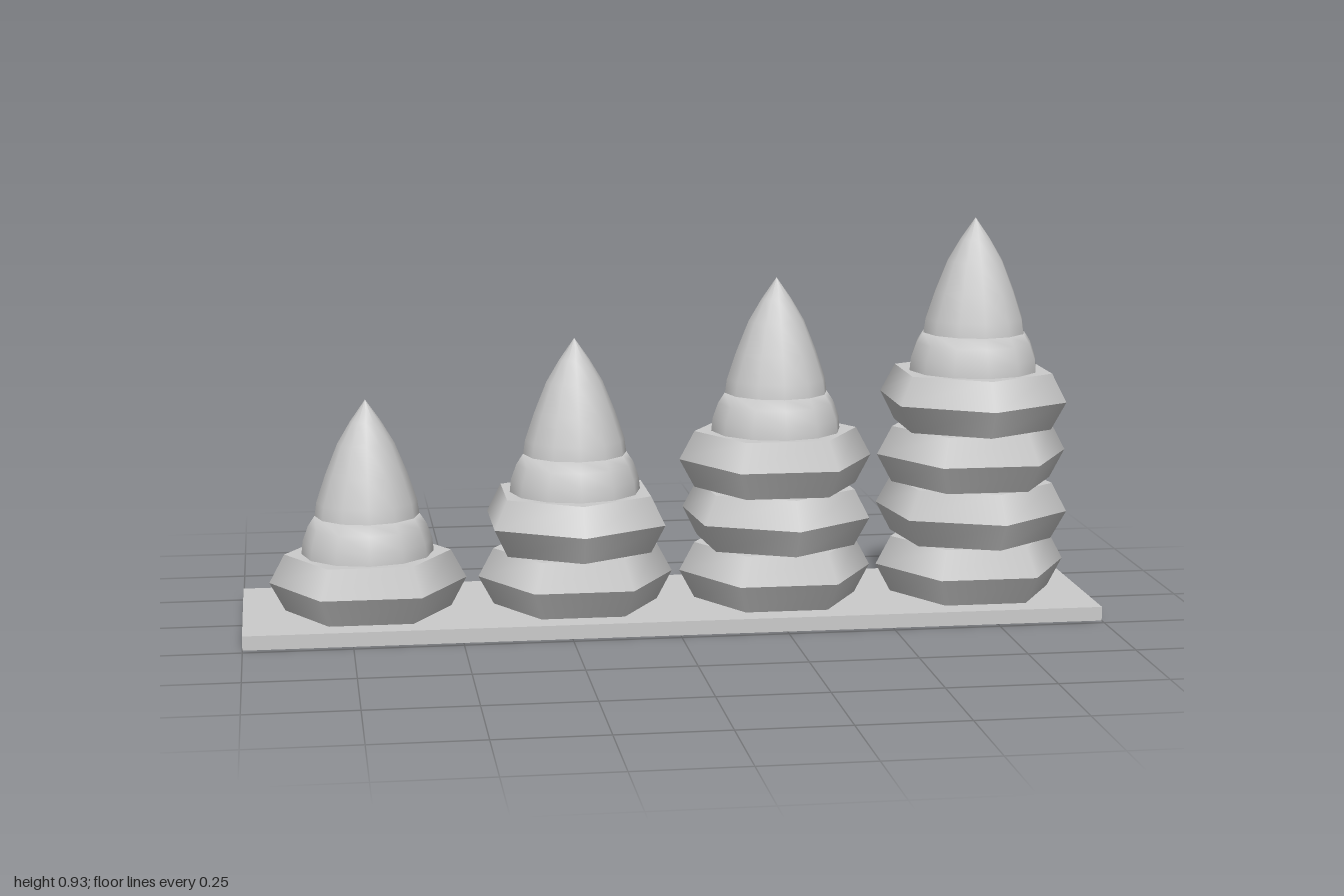
import * as THREE from 'three';

const BASE_H = 0.033, TIER_H = 0.134, MID_R = 0.23, END_R = 0.194;

export function createModel() {
  const model = new THREE.Group();
  const mat = new THREE.MeshStandardMaterial({ color: 0xcccccc });
  const add = (parent, geometry, name, y, turn = 0) => {
    const mesh = new THREE.Mesh(geometry, mat);
    mesh.name = name;
    mesh.position.y = y;
    mesh.rotation.y = THREE.MathUtils.degToRad(turn);
    parent.add(mesh);
    return mesh;
  };
  const lathe = (points) =>
    new THREE.LatheGeometry(points.map(([r, y]) => new THREE.Vector2(r, y)), 12);

  // Long plinth
  add(model, new THREE.BoxGeometry(2, BASE_H, 0.46), 'base', BASE_H / 2);

  // Shared shapes: two hexagonal frustums per tier, collar and pointed cap
  const lower = new THREE.CylinderGeometry(MID_R, END_R, TIER_H / 2, 6);
  const upper = new THREE.CylinderGeometry(END_R, MID_R, TIER_H / 2, 6);
  const collar = lathe([[0.154, 0], [0.151, 0.03], [0.138, 0.066], [0.122, 0.09], [0, 0.09]]);
  const cap = lathe([[0.122, 0.088], [0.117, 0.123], [0.095, 0.188], [0.066, 0.26], [0.035, 0.312], [0, 0.362]]);

  // Each tower: centre and the turn of every tier in degrees
  const towers = [
    { x: -0.707, turns: [30] },
    { x: -0.219, turns: [30, 0] },
    { x: 0.259, turns: [30, 5, 30] },
    { x: 0.735, turns: [30, 8, 30, 0] },
  ];
  towers.forEach(({ x, turns }, i) => {
    const tower = new THREE.Group();
    tower.name = `tower${i + 1}`;
    tower.position.x = x;
    turns.forEach((turn, k) => {
      const y = BASE_H + k * TIER_H;
      add(tower, lower, 'tierLower', y + TIER_H * 0.25, turn);
      add(tower, upper, 'tierUpper', y + TIER_H * 0.75, turn);
    });
    const top = BASE_H + turns.length * TIER_H;
    add(tower, collar, 'collar', top);
    add(tower, cap, 'pointedCap', top);
    model.add(tower);
  });
  return model;
}
